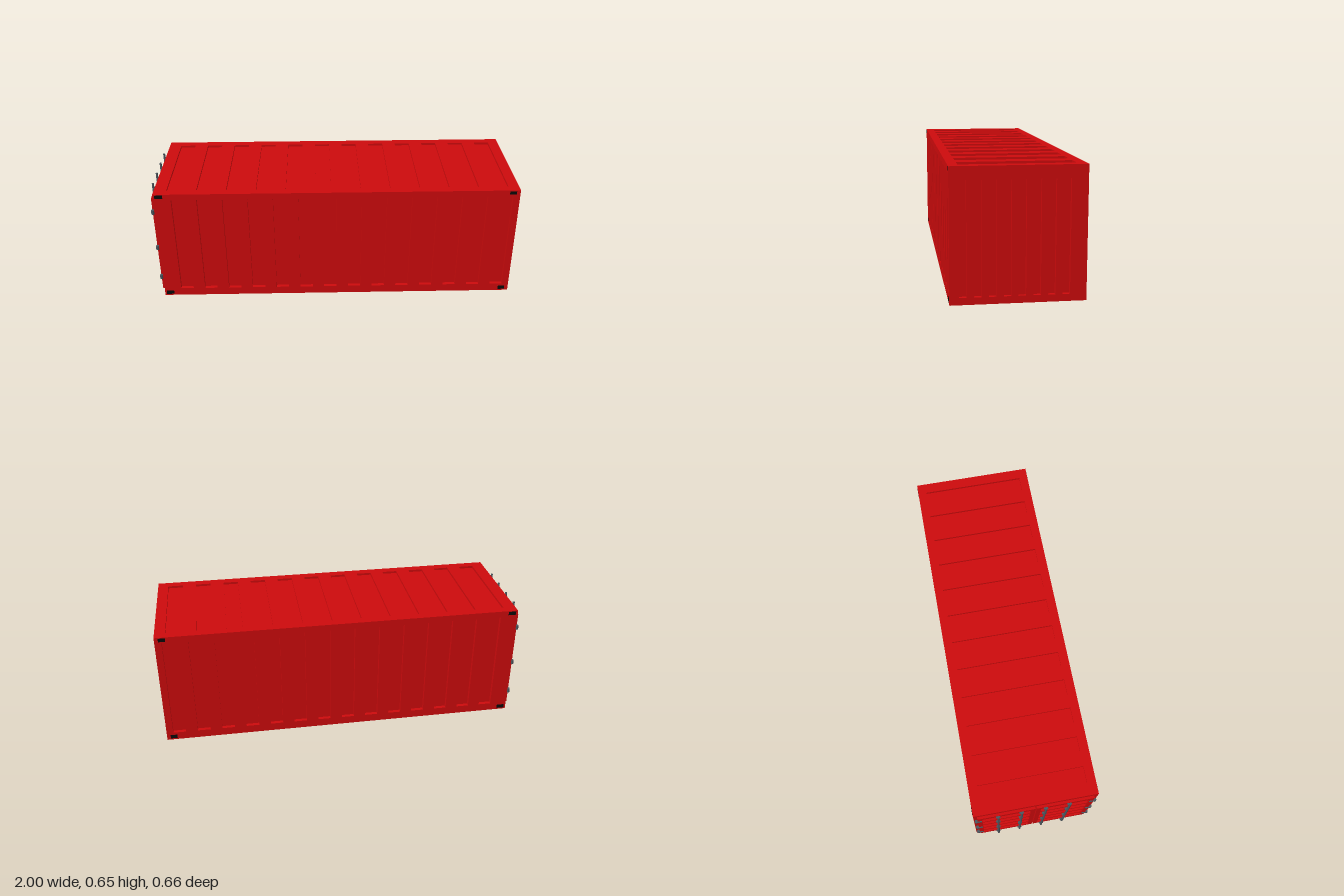
import * as THREE from 'three';

const X0 = -0.97, X1 = 1, H = 0.655, Z = 0.327;
const DEPTH = 0.02, ROOF_DEPTH = 0.012;

const red = new THREE.MeshStandardMaterial({ color: 0xcc0a0c });
const black = new THREE.MeshStandardMaterial({ color: 0x080808 });
const steel = new THREE.MeshStandardMaterial({ color: 0x4c565e });

function add(parent, name, geometry, material) {
  const mesh = new THREE.Mesh(geometry, material);
  mesh.name = name;
  parent.add(mesh);
  return mesh;
}

// Box given by its minimum and maximum corners
function box(parent, name, material, a, b) {
  const mesh = add(parent, name, new THREE.BoxGeometry(b[0] - a[0], b[1] - a[1], b[2] - a[2]), material);
  mesh.position.set((a[0] + b[0]) / 2, (a[1] + b[1]) / 2, (a[2] + b[2]) / 2);
  return mesh;
}

function rect(Type, u0, v0, u1, v1) {
  return new Type([[u0, v0], [u1, v0], [u1, v1], [u0, v1]].map(([u, v]) => new THREE.Vector2(u, v)));
}

// Flat plate with rectangular openings, outer face at local z = 0
function plate(outline, openings, depth) {
  const shape = rect(THREE.Shape, ...outline);
  openings.forEach((o) => shape.holes.push(rect(THREE.Path, ...o)));
  return new THREE.ExtrudeGeometry(shape, { depth, bevelEnabled: false }).translate(0, 0, -depth);
}

// Evenly spaced openings along u
function row(count, first, pitch, width, v0, v1) {
  return Array.from({ length: count }, (_, i) => {
    const c = first + i * pitch;
    return [c - width / 2, v0, c + width / 2, v1];
  });
}

export function createModel() {
  const model = new THREE.Group();
  model.name = 'shippingContainer';

  // Inner shell forms the bottoms of all grooves
  box(model, 'innerShell', red, [X0, 0, -Z + DEPTH], [X1 - DEPTH, H - ROOF_DEPTH, Z - DEPTH]);

  // Long side walls
  const side = plate([X0, 0, X1, H], row(14, -0.84, 0.136, 0.071, 0.045, 0.62), DEPTH);
  add(model, 'frontWall', side, red).position.z = Z;
  // Back wall mirrors the front wall: turned around, with the grooves reversed
  const back = plate([-X1, 0, -X0, H], row(14, -0.928, 0.136, 0.071, 0.045, 0.62), DEPTH);
  const backWall = add(model, 'backWall', back, red);
  backWall.rotation.y = Math.PI;
  backWall.position.z = -Z;

  // Closed end wall
  const end = plate([-Z + DEPTH, 0, Z - DEPTH, H], row(8, -0.264, 0.0704, 0.036, 0.035, 0.59), DEPTH);
  const endWall = add(model, 'endWall', end, red);
  endWall.rotation.y = Math.PI / 2;
  endWall.position.x = X1;

  // Roof
  const roofShape = plate([X0, -Z + DEPTH, X1 - DEPTH, Z - DEPTH], row(12, -0.86, 0.16, 0.085, -0.28, 0.28), ROOF_DEPTH);
  const roof = add(model, 'roof', roofShape, red);
  roof.rotation.x = -Math.PI / 2;
  roof.position.y = H;

  // Dark sockets of the corner fittings on both long sides
  for (const s of [1, -1]) {
    for (const [x0, x1] of [[-0.96, -0.918], [0.943, 0.98]]) {
      for (const [y0, y1] of [[0.008, 0.03], [0.63, 0.65]]) {
        const z0 = s > 0 ? Z - 0.01 : -Z - 0.001;
        box(model, 'cornerSocket', black, [x0, y0, z0], [x1, y1, z0 + 0.011]);
      }
    }
  }

  // Two door leaves with sunken horizontal panels
  const doors = new THREE.Group();
  doors.name = 'doors';
  model.add(doors);
  for (const s of [1, -1]) {
    const c = s * 0.155;
    const panels = Array.from({ length: 5 }, (_, i) => {
      const y = 0.065 + i * 0.108;
      return [c - 0.128, y, c + 0.128, y + 0.086];
    });
    const leaf = add(doors, 'doorLeaf', plate([c - 0.152, 0.035, c + 0.152, 0.622], panels, 0.013), red);
    leaf.rotation.y = -Math.PI / 2;
    leaf.position.x = X0 - 0.013;
  }

  // Locking bars with brackets
  for (const z of [-0.2, -0.077, 0.05, 0.174]) {
    const bar = add(doors, 'lockingBar', new THREE.CylinderGeometry(0.006, 0.006, 0.615, 10), steel);
    bar.position.set(-0.994, 0.335, z);
    for (const y of [0.05, 0.225, 0.435, 0.608]) {
      box(doors, 'barBracket', steel, [-0.992, y - 0.008, z - 0.011], [-0.98, y + 0.008, z + 0.011]);
    }
  }

  // Hinges on the outer door edges
  for (const s of [1, -1]) {
    for (const y of [0.12, 0.315, 0.542]) {
      const pin = add(doors, 'hingePin', new THREE.CylinderGeometry(0.009, 0.009, 0.024, 10), steel);
      pin.position.set(-0.981, y, s * 0.314);
      const z = s * 0.3;
      box(doors, 'hingeStrap', steel, [-0.988, y - 0.008, z - 0.014], [-0.975, y + 0.008, z + 0.014]);
    }
  }

  return model;
}
